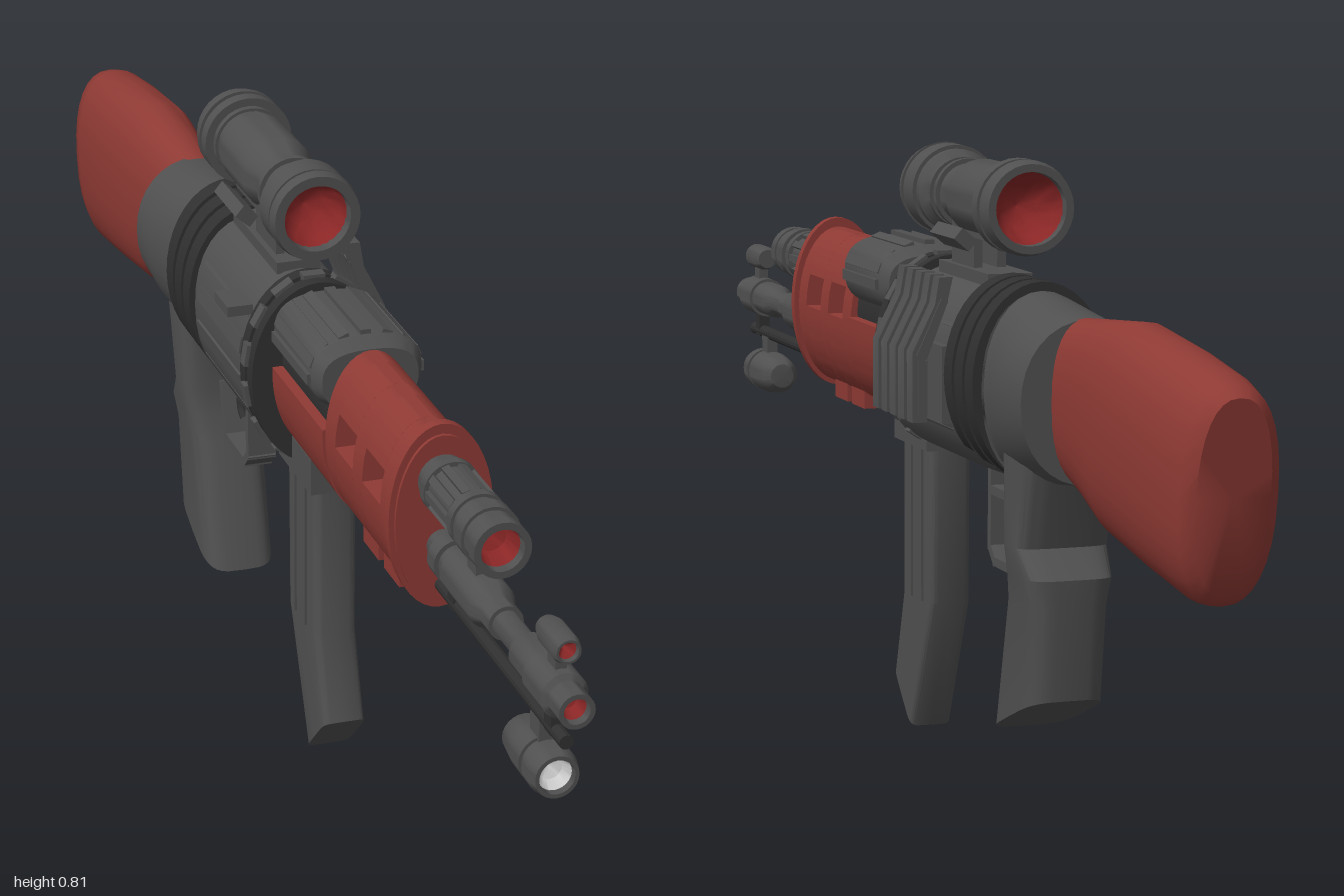
import * as THREE from 'three';
import { toCreasedNormals } from 'three/addons/utils/BufferGeometryUtils.js';

const CX = -0.018; // centre line of the rifle
const paint = (color, side = THREE.FrontSide) => new THREE.MeshStandardMaterial({ color, side });
const GREY = paint(0x505050), DARK = paint(0x303030), RED = paint(0x8f3a34);
const LENS = paint(0x8a2626, THREE.DoubleSide), GLASS = paint(0xcccccc, THREE.DoubleSide);

export function createModel() {
  const model = new THREE.Group();

  const add = (name, geo, mat, crease = 0.6) => {
    const mesh = new THREE.Mesh(crease ? toCreasedNormals(geo, crease) : geo, mat);
    mesh.name = name;
    model.add(mesh);
    return mesh;
  };
  const box = (name, w, h, d, x, y, z, mat = GREY) => {
    const m = add(name, new THREE.BoxGeometry(w, h, d), mat, 0);
    m.position.set(x, y, z);
    return m;
  };
  // Turned part along z: profile of [z, radius], from back to front
  const turned = (name, y, profile, mat = GREY, x = CX, sides = 24) => {
    const pts = profile.map(([z, r]) => new THREE.Vector2(r, z));
    const m = add(name, new THREE.LatheGeometry(pts, sides).rotateX(Math.PI / 2), mat);
    m.position.set(x, y, 0);
    return m;
  };
  // Loft: each section is [zA, yA, zB, yB, halfWidth]; k sets how square it is
  const loft = (name, sections, mat, k = 2, crease = 0.7, n = 32) => {
    const pos = [], idx = [], last = sections.length - 1;
    const pw = (v) => Math.sign(v) * Math.abs(v) ** (2 / k);
    const ring = ([za, ya, zb, yb, w]) => {
      for (let j = 0; j < n; j++) {
        const a = (j / n) * Math.PI * 2, t = (pw(Math.sin(a)) + 1) / 2;
        pos.push(CX + w * pw(Math.cos(a)), yb + (ya - yb) * t, zb + (za - zb) * t);
      }
    };
    sections.forEach(ring);
    for (let i = 0; i < last; i++) for (let j = 0; j < n; j++) {
      const a = i * n + j, b = i * n + (j + 1) % n;
      idx.push(a, b, a + n, b, b + n, a + n);
    }
    [0, last].forEach((s) => {
      const [za, ya, zb, yb] = sections[s], c = pos.length / 3;
      pos.push(CX, (ya + yb) / 2, (za + zb) / 2);
      for (let j = 0; j < n; j++) {
        const a = s * n + j, b = s * n + (j + 1) % n;
        if (s) idx.push(c, a, b); else idx.push(c, b, a);
      }
    });
    const g = new THREE.BufferGeometry();
    g.setAttribute('position', new THREE.Float32BufferAttribute(pos, 3));
    g.setIndex(idx);
    return add(name, g, mat, crease);
  };
  // Oval slice along z, kept only between heights lo and hi
  const oval = (name, z0, z1, cy, rx, ry, mat, lo = cy - ry, hi = cy + ry) => {
    const a0 = Math.asin(Math.max(-1, (lo - cy) / ry)), a1 = Math.asin(Math.min(1, (hi - cy) / ry));
    const pts = [], n = 20;
    for (let s = 0; s < 2; s++) for (let i = 0; i <= n; i++) {
      const a = s ? a1 + (a0 - a1) * i / n : a0 + (a1 - a0) * i / n;
      pts.push(new THREE.Vector2((s ? -1 : 1) * rx * Math.cos(a), cy + ry * Math.sin(a)));
    }
    const g = new THREE.ExtrudeGeometry(new THREE.Shape(pts), { depth: z1 - z0, bevelEnabled: false });
    const m = add(name, g, mat);
    m.position.set(CX, 0, z0);
    return m;
  };

  // Shoulder stock
  loft('stock', [
    [-1, 0.6, -0.965, 0.37, 0.045], [-0.985, 0.612, -0.95, 0.357, 0.06], [-0.95, 0.622, -0.92, 0.355, 0.064],
    [-0.84, 0.638, -0.8, 0.37, 0.065], [-0.705, 0.652, -0.66, 0.39, 0.062],
    [-0.6, 0.643, -0.58, 0.415, 0.053], [-0.5, 0.634, -0.5, 0.436, 0.047]], RED, 2.4, 0.8);

  // Receiver, tail section and clamping rings
  loft('receiverTail', [[-0.52, 0.634, -0.52, 0.43, 0.088], [-0.45, 0.64, -0.45, 0.42, 0.088],
    [-0.37, 0.65, -0.37, 0.41, 0.077], [-0.34, 0.652, -0.34, 0.408, 0.077]], GREY, 2.1);
  loft('receiver', [[-0.35, 0.65, -0.35, 0.408, 0.08], [-0.23, 0.65, -0.23, 0.405, 0.084],
    [0.05, 0.65, 0.05, 0.405, 0.084]], GREY, 2.2);
  for (const z of [-0.35, -0.309, -0.268]) oval('rearRing', z, z + 0.031, 0.535, 0.092, 0.128, DARK);
  for (const z of [0.003, 0.035]) oval('frontRing', z, z + 0.022, 0.535, 0.092, 0.128, DARK);
  for (let i = 0; i < 14; i++) {
    const a = (i + 0.5) / 14 * Math.PI * 2;
    const x = CX + 0.09 * Math.cos(a), y = 0.535 + 0.125 * Math.sin(a);
    const rot = Math.atan2(Math.sin(a) / 0.125, Math.cos(a) / 0.09);
    box('ringLug', 0.014, 0.03, 0.018, x, y, 0.03).rotation.z = rot;
    if (Math.abs(Math.cos(a)) > 0.3) box('receiverRib', 0.014, 0.022, 0.2,
      CX + 0.08 * Math.cos(a), 0.528 + 0.115 * Math.sin(a), -0.12).rotation.z = rot;
  }
  box('sidePlate', 0.012, 0.1, 0.17, 0.066, 0.52, -0.14);
  box('chargingHandle', 0.035, 0.014, 0.06, -0.105, 0.608, -0.04);

  // Bent side rack with ribs
  const rackShape = new THREE.Shape([[0.062, 0.66], [0.08, 0.66], [0.086, 0.625], [0.116, 0.565], [0.116, 0.475],
    [0.097, 0.475], [0.097, 0.555], [0.07, 0.625]].map(([x, y]) => new THREE.Vector2(x, y)));
  for (let i = 0; i < 5; i++) {
    const g = new THREE.ExtrudeGeometry(rackShape, { depth: 0.024, bevelEnabled: false });
    add('rackRib', g, GREY).position.set(0, 0, -0.238 + i * 0.036);
  }
  box('rackBack', 0.012, 0.07, 0.17, 0.103, 0.52, -0.155);
  const slope = box('rackSlope', 0.01, 0.08, 0.17, 0.09, 0.595, -0.155);
  slope.rotation.z = 0.43;
  box('rackArm', 0.05, 0.014, 0.06, 0.08, 0.545, -0.11);

  // Handguard with two windows cut straight through
  const guard = [[0.27, 0.31, 0], [0.31, 0.38, 1], [0.38, 0.417, 0], [0.417, 0.487, 1], [0.487, 0.545, 0]];
  for (const [z0, z1, open] of guard) {
    if (!open) oval('handguard', z0, z1, 0.542, 0.06, 0.112, RED);
    else {
      oval('handguardLower', z0, z1, 0.542, 0.06, 0.112, RED, 0.43, 0.545);
      oval('handguardUpper', z0, z1, 0.542, 0.06, 0.112, RED, 0.59, 0.654);
    }
  }
  oval('handguardFlange', 0.525, 0.54, 0.545, 0.067, 0.122, RED);
  for (const z of [0.32, 0.4]) box('handguardFoot', 0.05, 0.03, 0.06, CX, 0.43, z + 0.03, RED);
  oval('lowerHandguard', 0.05, 0.27, 0.545, 0.064, 0.115, RED, 0.43, 0.552);
  oval('handguardCore', 0.05, 0.27, 0.56, 0.05, 0.07, DARK);

  // Fluted upper cover
  loft('upperCover', [[0.08, 0.655, 0.08, 0.575, 0.064], [0.095, 0.668, 0.095, 0.57, 0.073],
    [0.255, 0.668, 0.255, 0.57, 0.073], [0.27, 0.655, 0.27, 0.575, 0.064]], GREY, 2.6);
  for (let i = 0; i < 9; i++) {
    const a = Math.PI * i / 8;
    box('coverFlute', 0.012, 0.014, 0.15, CX + 0.072 * Math.cos(a), 0.615 + 0.053 * Math.sin(a), 0.175)
      .rotation.z = a;
  }

  // Upper tube with ridges and coloured bore
  turned('upperTube', 0.597, [[0.53, 0], [0.53, 0.032], [0.565, 0.032], [0.565, 0.037], [0.58, 0.037], [0.58, 0.031],
    [0.66, 0.031], [0.66, 0.037], [0.675, 0.037], [0.675, 0.033], [0.69, 0.033], [0.69, 0.038], [0.715, 0.038],
    [0.715, 0.034], [0.735, 0.034], [0.735, 0.036], [0.755, 0.036], [0.755, 0.027], [0.72, 0.025]]);
  turned('upperBore', 0.597, [[0.7, 0], [0.712, 0.02], [0.75, 0.028]], LENS);
  for (let i = 0; i < 10; i++) {
    const a = i / 10 * Math.PI * 2;
    box('tubeRib', 0.008, 0.01, 0.075, CX + 0.032 * Math.cos(a), 0.597 + 0.032 * Math.sin(a), 0.62).rotation.z = a;
  }

  // Barrel, muzzle and cleaning rod
  turned('barrel', 0.51, [[0.53, 0], [0.53, 0.02], [0.575, 0.02], [0.575, 0.03], [0.6, 0.03], [0.6, 0.024], [0.62, 0.024],
    [0.62, 0.03], [0.72, 0.03], [0.74, 0.022], [0.77, 0.022], [0.77, 0.017], [0.83, 0.017], [0.845, 0.025],
    [0.9, 0.025], [0.9, 0.029], [0.96, 0.029], [0.965, 0.022], [1, 0.022], [1, 0.016], [0.97, 0.014]]);
  turned('muzzleBore', 0.51, [[0.965, 0], [0.97, 0.01], [0.995, 0.017]], LENS);
  turned('cleaningRod', 0.456, [[0.5, 0], [0.5, 0.009], [0.97, 0.009], [0.97, 0]], DARK, CX, 12);
  for (const z of [0.6, 0.93]) box('rodBracket', 0.016, 0.05, 0.022, CX, 0.475, z, DARK);

  // Front sight and lamp under the muzzle
  box('sightPost', 0.014, 0.045, 0.025, CX, 0.54, 0.935);
  turned('frontSight', 0.57, [[0.9, 0], [0.9, 0.014], [0.915, 0.018], [0.96, 0.018], [0.97, 0.015],
    [0.97, 0.012], [0.95, 0.01]]);
  turned('frontSightLens', 0.57, [[0.95, 0], [0.965, 0.013]], LENS);
  box('tubeLink', 0.022, 0.06, 0.03, CX, 0.548, 0.68);
  box('lampPost', 0.016, 0.04, 0.03, CX, 0.44, 0.89);
  turned('lamp', 0.398, [[0.82, 0], [0.822, 0.018], [0.835, 0.027], [0.87, 0.031], [0.9, 0.031], [0.9, 0.027], [0.91, 0.027],
    [0.91, 0.031], [0.93, 0.031], [0.945, 0.027], [0.945, 0.022], [0.92, 0.02]]);
  turned('lampGlass', 0.398, [[0.91, 0], [0.92, 0.015], [0.94, 0.023]], GLASS);

  // Telescopic sight with a dished lens at both ends
  turned('scope', 0.75, [[-0.275, 0.045], [-0.31, 0.047], [-0.31, 0.057], [-0.295, 0.061], [-0.285, 0.061], [-0.285, 0.056],
    [-0.275, 0.056], [-0.275, 0.061], [-0.255, 0.061], [-0.255, 0.05], [-0.245, 0.05], [-0.245, 0.046], [-0.225, 0.046],
    [-0.225, 0.05], [-0.12, 0.05], [-0.09, 0.04], [-0.065, 0.04], [-0.065, 0.046], [-0.055, 0.046], [-0.055, 0.04],
    [-0.04, 0.04], [-0.04, 0.046], [-0.03, 0.046], [-0.02, 0.055], [-0.01, 0.055], [-0.01, 0.06], [0.03, 0.06],
    [0.03, 0.056], [0.037, 0.056], [0.037, 0.061], [0.053, 0.058], [0.053, 0.045], [0.02, 0.043]], GREY, CX, 32);
  turned('scopeFrontLens', 0.75, [[-0.01, 0], [0, 0.025], [0.02, 0.04], [0.045, 0.046]], LENS);
  turned('scopeRearLens', 0.75, [[-0.25, 0], [-0.26, 0.025], [-0.28, 0.04], [-0.302, 0.048]], LENS);
  box('scopeBlock', 0.06, 0.055, 0.13, CX, 0.73, -0.15);
  for (const s of [-1, 1]) {
    box('scopeLeg', 0.012, 0.08, 0.09, CX + s * 0.016, 0.675, -0.105);
    box('scopeClamp', 0.026, 0.018, 0.1, CX + s * 0.05, 0.703, -0.15).rotation.z = s * 0.7;
  }
  box('scopeRail', 0.06, 0.016, 0.2, CX, 0.653, -0.13);

  // Curved magazine with side ribs
  loft('magazine', [[0.134, 0.45, 0.005, 0.45, 0.03], [0.134, 0.19, 0.01, 0.19, 0.03],
    [0.17, 0.075, 0.096, 0.005, 0.03]], GREY, 7, 0.5);
  box('magazineWell', 0.075, 0.05, 0.14, CX, 0.425, 0.07);
  for (const s of [-1, 1]) for (const z of [0.045, 0.09])
    box('magazineRib', 0.006, 0.22, 0.016, CX + s * 0.03, 0.3, z);

  // Pistol grip
  loft('grip', [[-0.35, 0.49, -0.49, 0.49, 0.064], [-0.362, 0.42, -0.465, 0.42, 0.063], [-0.364, 0.34, -0.44, 0.34, 0.062],
    [-0.358, 0.3, -0.476, 0.305, 0.058], [-0.345, 0.265, -0.474, 0.27, 0.052],
    [-0.294, 0.085, -0.46, 0.15, 0.052]], GREY, 4, 0.5);

  // Trigger guard and trigger
  const bar = (z0, y0, z1, y1) => {
    const len = Math.hypot(z1 - z0, y1 - y0);
    box('triggerGuard', 0.04, 0.012, len + 0.01, CX, (y0 + y1) / 2, (z0 + z1) / 2)
      .rotation.x = -Math.atan2(y1 - y0, z1 - z0);
  };
  bar(-0.207, 0.41, -0.207, 0.305);
  bar(-0.207, 0.305, -0.225, 0.288);
  bar(-0.225, 0.288, -0.315, 0.288);
  bar(-0.315, 0.288, -0.335, 0.36);
  bar(-0.207, 0.38, -0.36, 0.38);
  const pull = new THREE.CatmullRomCurve3([[0.39, -0.31], [0.36, -0.305], [0.335, -0.3], [0.325, -0.285]]
    .map(([y, z]) => new THREE.Vector3(CX, y, z)));
  add('trigger', new THREE.TubeGeometry(pull, 12, 0.006, 8), DARK, 0);

  return model;
}
